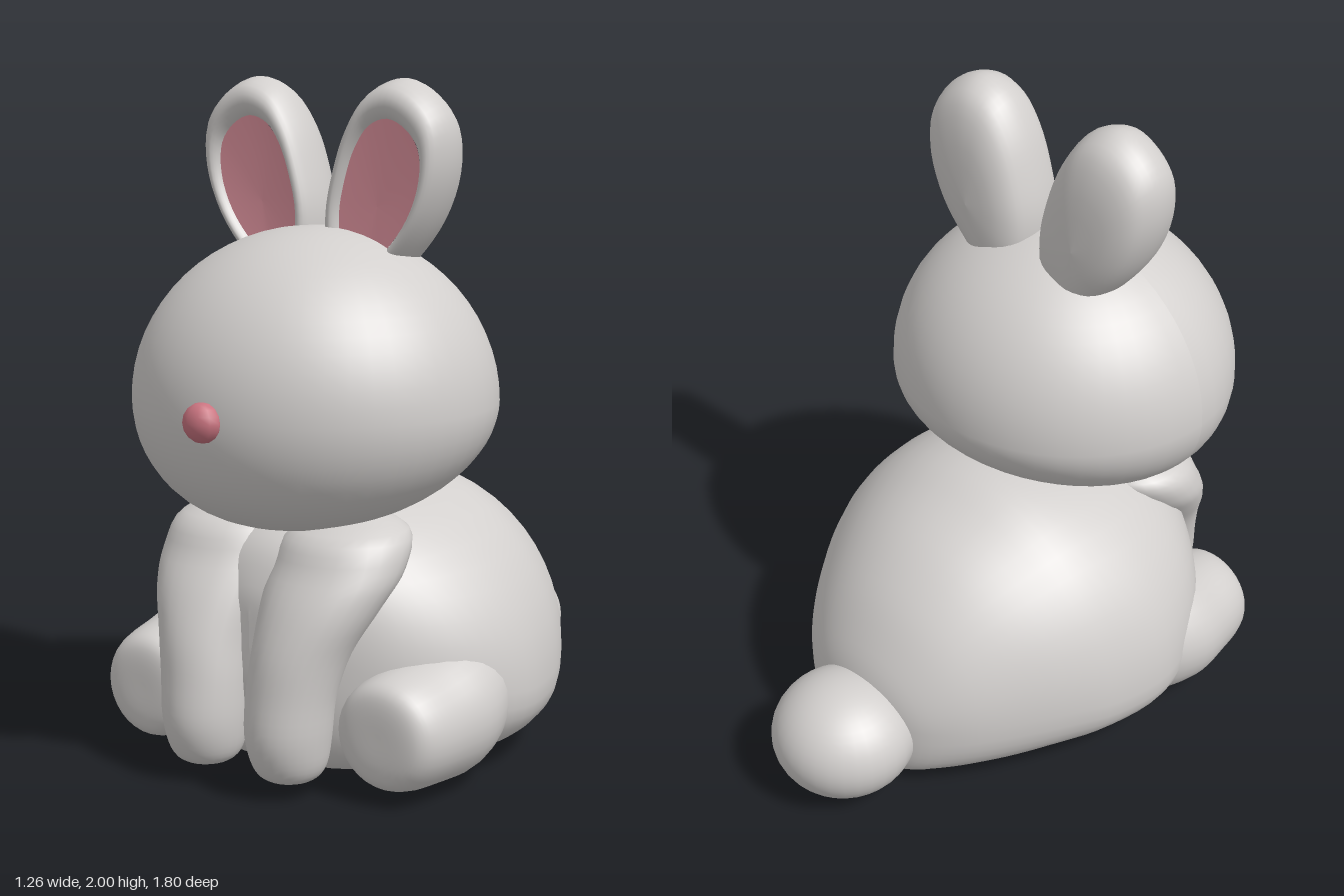
import * as THREE from 'three';

const fur = new THREE.MeshStandardMaterial({ color: 0xd2cfcd });
fur.name = 'warm grey fur';
const earPink = new THREE.MeshStandardMaterial({ color: 0xdb919c });
earPink.name = 'inner ear pink';
const nosePink = new THREE.MeshStandardMaterial({ color: 0xcb7581 });
nosePink.name = 'nose pink';

// Skin a list of equal-length closed rings; flip reverses the faces for mirrored parts
function loft(rings, flip = false) {
  const n = rings[0].length, index = [];
  for (let i = 0; i < rings.length - 1; i++) {
    for (let j = 0; j < n; j++) {
      const k = (j + 1) % n;
      const a = i * n + j, b = (i + 1) * n + j, c = i * n + k, d = (i + 1) * n + k;
      if (flip) index.push(a, c, b, c, d, b);
      else index.push(a, b, c, c, b, d);
    }
  }
  const geo = new THREE.BufferGeometry().setFromPoints(rings.flat());
  geo.setIndex(index);
  geo.computeVertexNormals();
  return geo;
}

// Interpolate rows of section values along a spline
function smooth(rows, count) {
  const curves = rows[0].map((_, c) =>
    new THREE.SplineCurve(rows.map((r, i) => new THREE.Vector2(i, r[c]))));
  return Array.from({ length: count + 1 }, (_, i) => curves.map(s => s.getPoint(i / count).y));
}

function ring(n, fn) {
  return Array.from({ length: n }, (_, j) => {
    const a = (j / n) * Math.PI * 2;
    return new THREE.Vector3(...fn(Math.cos(a), Math.sin(a)));
  });
}

function part(name, geo, mat) {
  const mesh = new THREE.Mesh(geo, mat);
  mesh.name = name;
  return mesh;
}

// Egg-shaped torso with a flat belly: z, half width, bottom, widest height, top
function makeBody() {
  const rows = [
    [0.66, 0, 0.40, 0.45, 0.50], [0.65, 0.12, 0.25, 0.42, 0.58],
    [0.60, 0.28, 0.08, 0.38, 0.69], [0.50, 0.44, 0.02, 0.32, 0.76],
    [0.35, 0.56, 0, 0.28, 0.81], [0.15, 0.62, 0, 0.25, 0.84],
    [-0.05, 0.59, 0, 0.25, 0.85], [-0.20, 0.53, 0, 0.27, 0.80],
    [-0.35, 0.44, 0, 0.27, 0.72], [-0.48, 0.34, 0.01, 0.26, 0.60],
    [-0.57, 0.23, 0.02, 0.25, 0.46], [-0.61, 0.12, 0.08, 0.25, 0.36],
    [-0.62, 0, 0.20, 0.25, 0.28],
  ];
  return loft(smooth(rows, 48).map(([z, w, low, mid, top]) => ring(48, (c, s) => {
    const half = Math.max(w, 0);
    if (s >= 0) return [half * c, mid + (top - mid) * s, z];
    return [half * Math.sign(c) * Math.abs(c) ** 0.7, Math.max(0, mid - (mid - low) * (-s) ** 0.8), z];
  })));
}

// Round head with a fuller, sloping underside
function makeHead() {
  const geo = new THREE.SphereGeometry(1, 48, 32);
  const p = geo.attributes.position;
  for (let i = 0; i < p.count; i++) {
    const x = p.getX(i), y = p.getY(i), z = p.getZ(i);
    const h = Math.hypot(x, z);
    const full = y < 0 && h > 1e-5 ? h ** 0.82 / h : 1;
    const zz = 0.335 + 0.515 * z * full;
    const yy = y >= 0 ? 1.08 + 0.5 * y : 1.08 + 0.35 * y + 0.17 * (zz - 0.4) * y;
    p.setXYZ(i, 0.545 * x * full, yy, zz);
  }
  geo.computeVertexNormals();
  return geo;
}

// Front leg: x, y, z, radius x, radius z from paw to shoulder
function makeFrontLeg(side) {
  const rows = [
    [0.15, 0.04, 0.67, 0, 0], [0.15, 0.05, 0.67, 0.07, 0.07],
    [0.15, 0.09, 0.67, 0.105, 0.11], [0.15, 0.18, 0.675, 0.122, 0.13],
    [0.155, 0.30, 0.665, 0.13, 0.13], [0.17, 0.42, 0.63, 0.145, 0.145],
    [0.19, 0.54, 0.57, 0.18, 0.16], [0.20, 0.64, 0.50, 0.20, 0.17],
    [0.20, 0.74, 0.44, 0.17, 0.16], [0.20, 0.80, 0.40, 0, 0],
  ];
  return loft(smooth(rows, 36).map(([x, y, z, rx, rz]) =>
    ring(28, (c, s) => [side * (x + rx * c), y, z + rz * s])), side < 0);
}

// Hind foot: x, y, z, radius from sole to haunch
function makeHindFoot(side) {
  const rows = [
    [0.425, 0.20, 0.64, 0], [0.425, 0.20, 0.638, 0.09], [0.425, 0.20, 0.62, 0.14],
    [0.43, 0.20, 0.57, 0.165], [0.435, 0.205, 0.47, 0.18], [0.43, 0.22, 0.33, 0.20],
    [0.38, 0.24, 0.18, 0.20], [0.30, 0.25, 0.05, 0.15],
  ];
  return loft(smooth(rows, 28).map(([x, y, z, r]) =>
    ring(32, (c, s) => [side * (x + r * c), Math.max(0.005, y + r * s), z])), side < 0);
}

// Ear: one outline, scaled about its middle at successive depths
function makeEar(side, name) {
  const outline = new THREE.CatmullRomCurve3([
    [0.13, 1.36], [0.25, 1.46], [0.36, 1.60], [0.415, 1.75], [0.41, 1.88], [0.35, 1.96],
    [0.26, 2.0], [0.17, 1.97], [0.10, 1.88], [0.05, 1.75], [0.02, 1.60], [0.04, 1.45],
  ].map(([x, y]) => new THREE.Vector3(x, y, 0)), true).getPoints(48).slice(0, -1);
  const layers = rows => loft(rows.map(([k, z]) => outline.map(p =>
    new THREE.Vector3(side * (0.205 + (p.x - 0.205) * k), 1.64 + (p.y - 1.64) * k, z))), side < 0);
  const shell = smooth([
    [0.66, 0.305], [0.72, 0.332], [0.82, 0.345], [0.93, 0.325], [1, 0.26],
    [0.96, 0.20], [0.82, 0.15], [0.5, 0.12], [0, 0.11],
  ], 24);
  const ear = new THREE.Group();
  ear.name = name;
  ear.add(part('earShell', layers(shell), fur));
  ear.add(part('innerEar', layers([[0, 0.315], [0.4, 0.317], [0.69, 0.322]]), earPink));
  return ear;
}

export function createModel() {
  const model = new THREE.Group();
  model.name = 'rabbit';
  model.add(part('body', makeBody(), fur), part('head', makeHead(), fur));

  // Mirrored limbs and ears
  for (const [side, label] of [[1, 'left'], [-1, 'right']]) {
    model.add(part(label + 'FrontLeg', makeFrontLeg(side), fur));
    model.add(part(label + 'HindFoot', makeHindFoot(side), fur));
    model.add(makeEar(side, label + 'Ear'));
  }

  // Round tail
  const tail = part('tail', new THREE.SphereGeometry(1, 32, 24), fur);
  tail.scale.set(0.225, 0.19, 0.225);
  tail.position.set(0, 0.195, -0.675);

  // Small nose
  const nose = part('nose', new THREE.SphereGeometry(1, 10, 8), nosePink);
  nose.scale.set(0.06, 0.057, 0.045);
  nose.position.set(0, 1.08, 0.855);
  model.add(tail, nose);
  return model;
}
